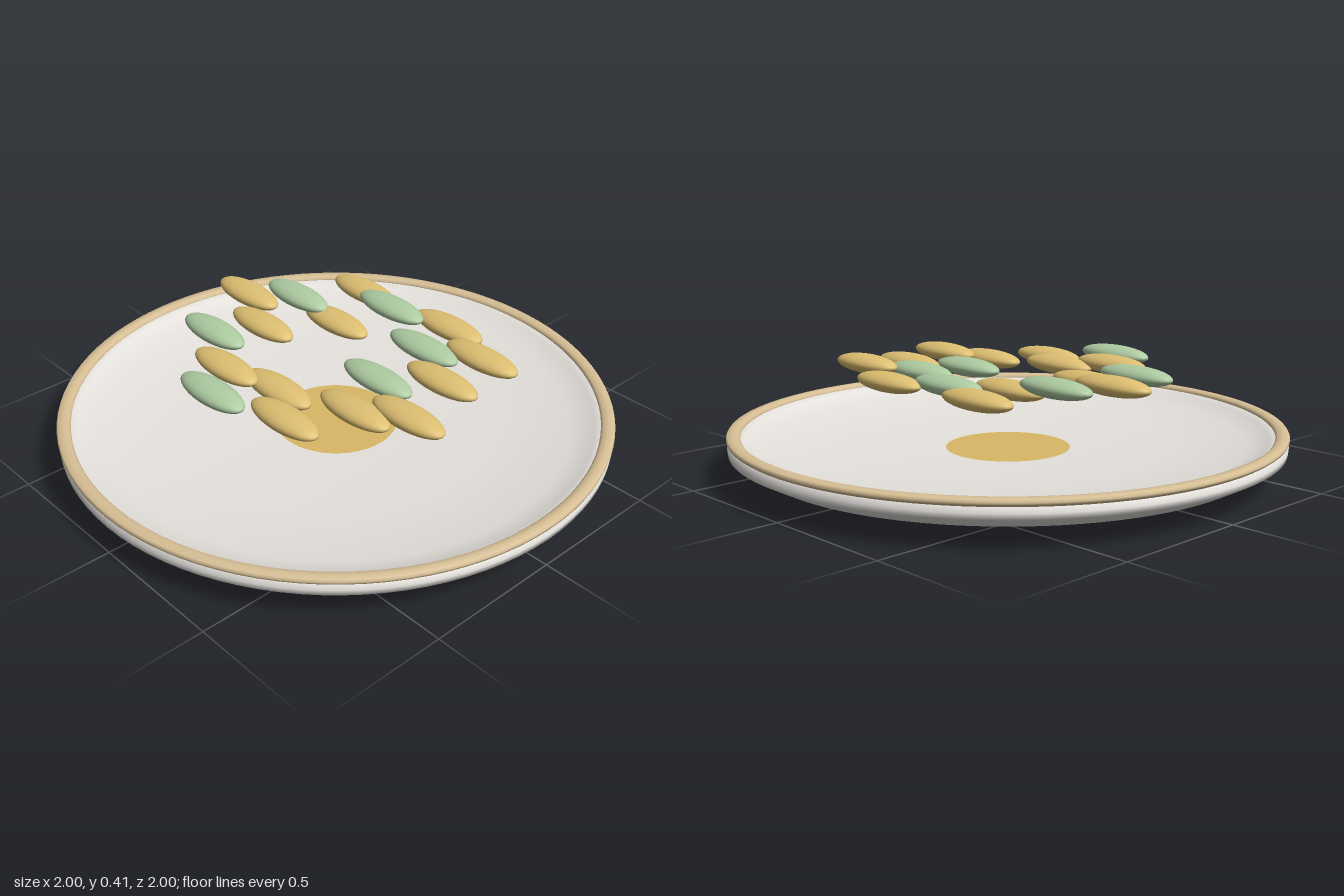
import * as THREE from 'three';

const material = (name, color, side = THREE.FrontSide) => {
  const m = new THREE.MeshStandardMaterial({ color, side });
  m.name = name;
  return m;
};

export function createModel() {
  const group = new THREE.Group();
  group.name = 'plateWithGrains';

  const porcelain = material('porcelain', 0xe6e3de, THREE.DoubleSide);
  const tan = material('tan rim', 0xd8c096, THREE.DoubleSide);
  const gold = material('gold', 0xd9b766, THREE.DoubleSide);
  const grainGold = material('grain gold', 0xdfc072);
  const grainGreen = material('grain green', 0xaeccA2);

  const add = (name, geometry, mat, parent = group) => {
    const mesh = new THREE.Mesh(geometry, mat);
    mesh.name = name;
    parent.add(mesh);
    return mesh;
  };
  const lathe = (points) =>
    new THREE.LatheGeometry(points.map(([r, y]) => new THREE.Vector2(r, y)), 96);

  // Dish: underside, rounded edge, then the shallow inside
  add('dish', lathe([
    [0.38, 0], [0.69, 0.02], [0.91, 0.055], [0.995, 0.1], [0.997, 0.12], [0.985, 0.142],
    [0.955, 0.15], [0.93, 0.138], [0.85, 0.108], [0.6, 0.083], [0.225, 0.07], [0, 0.07],
  ]), porcelain);

  // Rim band
  add('rim', lathe([
    [0.985, 0.136], [0.998, 0.145], [1, 0.153], [0.995, 0.161],
    [0.975, 0.164], [0.958, 0.161], [0.95, 0.153], [0.952, 0.146],
  ]), tan);

  // Hollow foot, open below
  add('foot', lathe([[0.38, 0], [0.225, 0.068]]), gold);

  // Painted centre, seen from above only
  const centre = new THREE.CircleGeometry(0.225, 64).rotateX(-Math.PI / 2);
  const centreGold = material('centre gold', 0xd9b766);
  add('centreSpot', centre, centreGold).position.y = 0.074;

  // Floating grains: [x, y, z]
  const grain = new THREE.SphereGeometry(1, 28, 18).scale(0.158, 0.034, 0.062);
  const grains = new THREE.Group();
  grains.name = 'grains';
  group.add(grains);
  const scatter = (name, mat, places) => places.forEach(([x, y, z], i) =>
    add(`${name}${i + 1}`, grain, mat, grains).position.set(x, y, z));

  scatter('goldGrain', grainGold, [
    [-0.28, 0.345, -0.41], [0.14, 0.35, -0.435], [0.395, 0.37, -0.33],
    [-0.19, 0.335, -0.175], [0.385, 0.353, -0.14], [-0.525, 0.375, -0.03],
    [-0.335, 0.352, 0.06], [0.465, 0.355, 0.105], [0.30, 0.338, 0.19],
    [0.025, 0.337, 0.29], [-0.185, 0.357, 0.35], [0.18, 0.338, 0.395],
  ]);
  scatter('greenGrain', grainGreen, [
    [-0.095, 0.362, -0.37], [0.19, 0.357, -0.25], [-0.395, 0.367, -0.165],
    [0.21, 0.34, -0.003], [-0.405, 0.36, 0.23], [-0.075, 0.365, 0.495],
  ]);

  return group;
}
